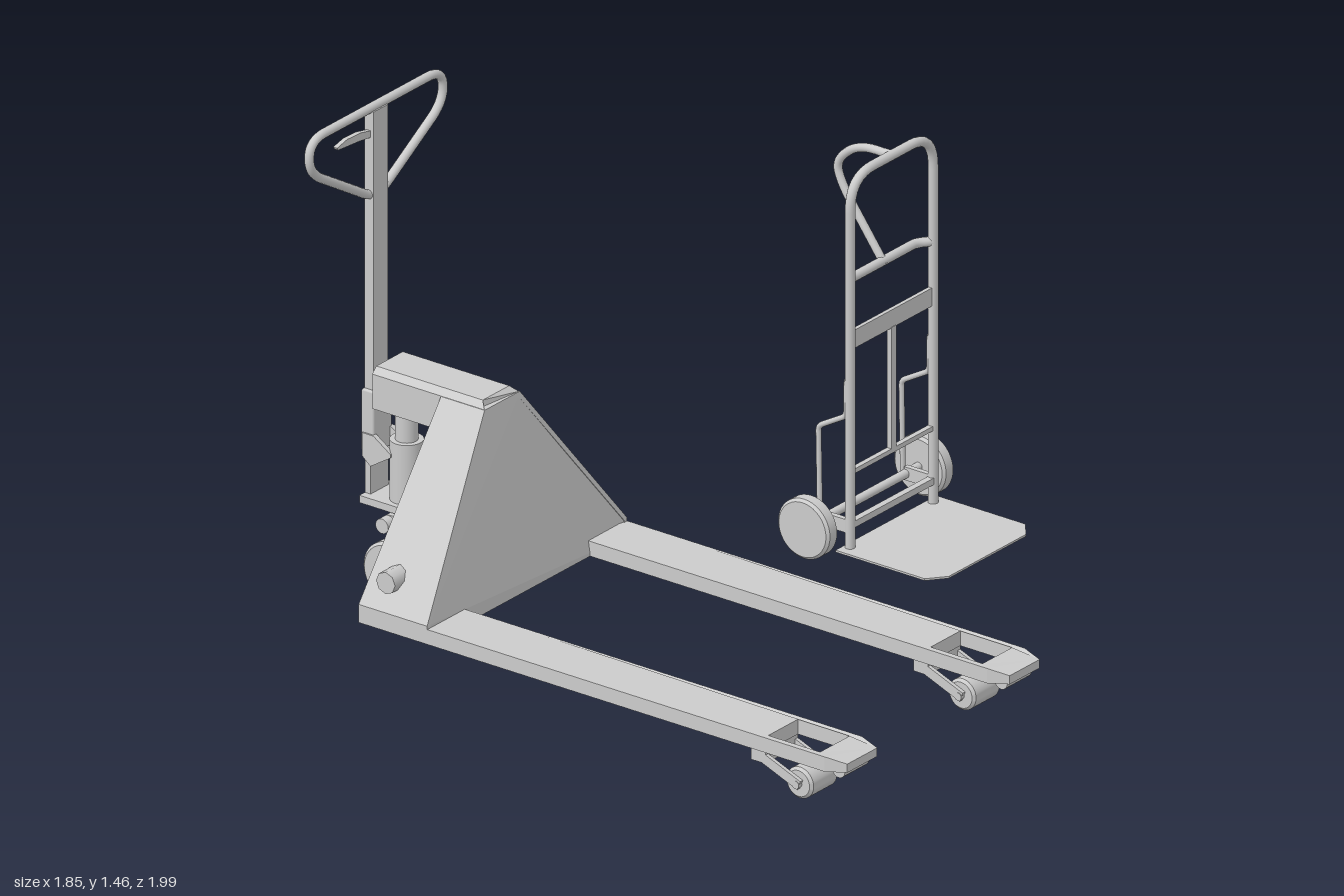
import * as THREE from 'three';
import { RoundedBoxGeometry } from 'three/addons/geometries/RoundedBoxGeometry.js';
import { toCreasedNormals } from 'three/addons/utils/BufferGeometryUtils.js';

const grey = new THREE.MeshStandardMaterial({ color: 0xcccccc, side: THREE.DoubleSide });
const V = (x, y, z) => new THREE.Vector3(x, y, z);

function add(parent, name, geo, x = 0, y = 0, z = 0) {
  const m = new THREE.Mesh(geo, grey);
  m.name = name;
  m.position.set(x, y, z);
  parent.add(m);
  return m;
}
// box given by its limits
const box = (p, name, x0, x1, y0, y1, z0, z1) =>
  add(p, name, new THREE.BoxGeometry(x1 - x0, y1 - y0, z1 - z0), (x0 + x1) / 2, (y0 + y1) / 2, (z0 + z1) / 2);
// cylinder lying along x
const axleX = (p, name, x0, x1, y, z, r, n = 32) =>
  add(p, name, new THREE.CylinderGeometry(r, r, x1 - x0, n).rotateZ(Math.PI / 2), (x0 + x1) / 2, y, z);
// upright cylinder
const post = (p, name, x, y0, y1, z, r) =>
  add(p, name, new THREE.CylinderGeometry(r, r, y1 - y0, 28), x, (y0 + y1) / 2, z);
// flat bar between two points in a plane of constant x
function barYZ(p, name, x, w, y0, z0, y1, z1, h) {
  const m = add(p, name, new THREE.BoxGeometry(w, h, Math.hypot(y1 - y0, z1 - z0)), x, (y0 + y1) / 2, (z0 + z1) / 2);
  m.rotation.x = -Math.atan2(y1 - y0, z1 - z0);
  return m;
}
// polyline with rounded corners
function roundedPath(pts, r, closed = false) {
  const path = new THREE.CurvePath(), n = pts.length;
  const cut = (a, b) => a.clone().lerp(b, Math.min(0.49, r / a.distanceTo(b)));
  let start = closed ? cut(pts[0], pts[1]) : pts[0];
  for (let i = 1; i < (closed ? n + 1 : n - 1); i++) {
    const a = pts[i - 1], b = pts[i % n], c = pts[(i + 1) % n], end = cut(b, a), next = cut(b, c);
    path.add(new THREE.LineCurve3(start, end));
    path.add(new THREE.QuadraticBezierCurve3(end, b, next));
    start = next;
  }
  if (!closed) path.add(new THREE.LineCurve3(start, pts[n - 1]));
  return path;
}
const tube = (p, name, pts, r, bend, closed = false) =>
  add(p, name, new THREE.TubeGeometry(roundedPath(pts, bend, closed), 120, r, 12, closed));
const shapeOf = pts => new THREE.Shape(pts.map(([x, y]) => new THREE.Vector2(x, y)));
const extrude = (shape, depth) => new THREE.ExtrudeGeometry(shape, { depth, bevelEnabled: false });
// plan outline (x, z) made into a slab whose top lies at y = 0
const slab = (shape, t) => extrude(shape, t).rotateX(Math.PI / 2);
function moveVertices(geo, rule) {
  const p = geo.attributes.position, v = V();
  for (let i = 0; i < p.count; i++) {
    rule(v.fromBufferAttribute(p, i));
    p.setXYZ(i, v.x, v.y, v.z);
  }
  geo.computeVertexNormals();
  return geo;
}
// wheel with softened rim, axis along x
function wheel(p, name, x, y, z, r, w) {
  const h = w / 2, b = Math.min(0.008, h / 2);
  const prof = [[0, -h], [r - b, -h], [r, -h + b], [r, h - b], [r - b, h], [0, h]].map(a => new THREE.Vector2(...a));
  return add(p, name, toCreasedNormals(new THREE.LatheGeometry(prof, 40).rotateZ(Math.PI / 2), 0.5), x, y, z);
}

function palletJack() {
  const g = new THREE.Group();
  g.name = 'palletJack';
  g.position.x = -0.47;

  for (const s of [-1, 1]) {
    const c = s * 0.368;
    // fork blade with a window over the load roller and a tapered tip
    const outline = shapeOf([[-0.085, -0.69], [0.085, -0.69], [0.085, 0.93], [0.068, 0.995], [-0.068, 0.995], [-0.085, 0.93]]);
    outline.holes.push(shapeOf([[-0.067, 0.72], [-0.067, 0.9], [0.067, 0.9], [0.067, 0.72]]));
    const blade = moveVertices(slab(outline, 0.045), v => { if (v.z > 0.98) v.y = v.y > -0.02 ? -0.01 : -0.036; });
    add(g, 'fork', blade, c, 0.17, 0);
    // load roller, its swing arms and the entry roller
    wheel(g, 'loadRoller', c, 0.05, 0.82, 0.047, 0.122);
    axleX(g, 'rollerAxle', c - 0.075, c + 0.075, 0.05, 0.82, 0.012);
    for (const t of [-1, 1]) {
      barYZ(g, 'rollerArm', c + t * 0.067, 0.012, 0.05, 0.83, 0.105, 0.69, 0.03);
    }
    box(g, 'rollerPivot', c - 0.074, c + 0.074, 0.085, 0.126, 0.665, 0.715);
    axleX(g, 'entryRoller', c - 0.055, c + 0.055, 0.125, 0.955, 0.022, 20);
    // octagonal pivot boss on the sloping side
    axleX(g, 'pivotBoss', s * 0.4 - 0.035, s * 0.4 + 0.035, 0.26, -0.61, 0.033, 8);
    // lift link from the cross shaft to the pump
    barYZ(g, 'liftLink', s * 0.06, 0.02, 0.265, -0.59, 0.235, -0.885, 0.045);
    // steering wheel pair
    wheel(g, 'steerWheel', s * 0.064, 0.09, -0.87, 0.09, 0.044);
    axleX(g, 'steerHub', s * 0.064 - 0.035, s * 0.064 + 0.035, 0.09, -0.87, 0.016);
  }

  // hollow body: arch of sloping sides, leaning front panel
  const slope = v => { if (v.z > 0.5) v.z = -0.45 - Math.max(0, v.y - 0.17) * 0.175; else v.z = -0.69; };
  const outer = [[-0.453, 0.125], [-0.453, 0.18], [-0.08, 0.675], [0.08, 0.675], [0.453, 0.18], [0.453, 0.125]];
  const inner = [[0.44, 0.125], [0.44, 0.175], [0.073, 0.66], [-0.073, 0.66], [-0.44, 0.175], [-0.44, 0.125]];
  add(g, 'bodySides', moveVertices(extrude(shapeOf([...outer, ...inner]), 1), slope));
  const lean = v => { v.z = -0.45 - Math.max(0, v.y - 0.17) * 0.175 - (v.z > 0.5 ? 0 : 0.015); };
  add(g, 'frontPanel', moveVertices(extrude(shapeOf(outer), 1), lean));
  axleX(g, 'crossShaft', -0.4, 0.4, 0.26, -0.61, 0.016);

  // head beam over the pump, chamfered on top
  const head = shapeOf([[-0.078, 0.57], [0.078, 0.57], [0.078, 0.675], [0.06, 0.693], [-0.06, 0.693], [-0.078, 0.675]]);
  add(g, 'headBeam', moveVertices(extrude(head, 0.39), v => {
    if (v.z > 0.2 && v.y > 0.68) v.z -= 0.02;
  }), 0, 0, -0.93);

  // hydraulic pump and steering yoke
  post(g, 'pumpRam', 0, 0.45, 0.58, -0.87, 0.032);
  post(g, 'pumpCylinder', 0, 0.285, 0.468, -0.87, 0.048);
  post(g, 'pumpFoot', 0, 0.07, 0.29, -0.87, 0.03);
  box(g, 'yokePlate', -0.065, 0.065, 0.265, 0.287, -0.985, -0.81);
  post(g, 'pumpCollar', 0, 0.19, 0.265, -0.87, 0.044);
  axleX(g, 'linkPin', -0.1, 0.1, 0.235, -0.88, 0.022);
  axleX(g, 'wheelAxle', -0.08, 0.08, 0.09, -0.87, 0.014);

  // tiller bracket: cheeks joining the pump to the handle foot
  const cheek = shapeOf([[-0.89, 0.43], [-0.95, 0.47], [-0.99, 0.47], [-0.99, 0.4], [-0.96, 0.375], [-0.89, 0.42]]);
  for (const s of [-1, 1]) {
    add(g, 'tillerCheek', extrude(cheek, 0.015).rotateY(-Math.PI / 2), s * 0.04 + 0.0075, 0, 0);
  }
  add(g, 'tillerFoot', new RoundedBoxGeometry(0.085, 0.19, 0.044, 2, 0.006), 0, 0.505, -0.975);
  box(g, 'tillerStop', -0.04, 0.04, 0.285, 0.4, -0.985, -0.965);

  // tiller pole, flattened handle loop and release lever
  box(g, 'tillerPole', -0.033, 0.033, 0.4, 1.445, -0.992, -0.96);
  const loop = [V(0, 1.168, 0), V(0.305, 1.352, 0), V(0.3, 1.45, 0), V(-0.3, 1.45, 0), V(-0.305, 1.352, 0)];
  tube(g, 'handleLoop', loop, 0.0135, 0.065, true).position.z = -0.977;
  const lever = shapeOf([[-0.03, 1.365], [-0.08, 1.372], [-0.18, 1.38], [-0.185, 1.388], [-0.14, 1.398], [-0.08, 1.396], [-0.03, 1.385]]);
  add(g, 'releaseLever', extrude(lever, 0.014), 0, 0, -0.984);
  return g;
}

function handTruck() {
  const g = new THREE.Group();
  g.name = 'handTruck';
  g.position.x = 0.638;
  const z = -0.035, hw = 0.188;

  // main hoop and cross members
  tube(g, 'frameHoop', [V(-hw, 0.03, z), V(-hw, 1.157, z), V(hw, 1.157, z), V(hw, 0.03, z)], 0.0145, 0.1);
  tube(g, 'upperCrossbar', [V(-hw, 0.828, z), V(-0.15, 0.828, z - 0.03), V(0.15, 0.828, z - 0.03), V(hw, 0.828, z)], 0.014, 0.02);
  box(g, 'backPlate', -hw, hw, 0.637, 0.692, z - 0.006, z + 0.006);
  box(g, 'lowerCrossbar', -hw, hw, 0.258, 0.272, z - 0.008, z + 0.008);
  box(g, 'centreStrut', -0.011, 0.011, 0.265, 0.64, z - 0.008, z + 0.008);
  box(g, 'footCrossbar', -hw, hw, 0.095, 0.115, z - 0.01, z + 0.01);

  // curved grab handle behind the frame
  tube(g, 'grabHandle', [V(0, 1.158, z), V(0, 1.158, -0.15), V(0, 1.09, -0.23), V(0, 1.02, -0.207), V(0, 0.82, -0.06)], 0.0125, 0.06);

  // toe plate with clipped corners
  const toe = shapeOf([[-0.228, -0.055], [0.228, -0.055], [0.228, 0.255], [0.175, 0.298], [-0.175, 0.298], [-0.228, 0.255]]);
  add(g, 'toePlate', slab(toe, 0.006), 0, 0.036, 0);

  // wheels, axle and stays
  axleX(g, 'axle', -0.27, 0.27, 0.1, -0.125, 0.013);
  for (const s of [-1, 1]) {
    wheel(g, 'wheel', s * 0.263, 0.1, -0.125, 0.09, 0.048);
    tube(g, 'wheelStay', [V(s * hw, 0.54, z - 0.012), V(s * hw, 0.43, z - 0.014), V(s * hw, 0.375, -0.145), V(s * hw, 0.1, -0.14)], 0.008, 0.015);
    box(g, 'axleBracket', s * hw - 0.008, s * hw + 0.008, 0.08, 0.12, -0.13, z);
  }
  return g;
}

export function createModel() {
  const model = new THREE.Group();
  model.name = 'warehouseTrucks';
  model.add(palletJack(), handTruck());
  return model;
}
